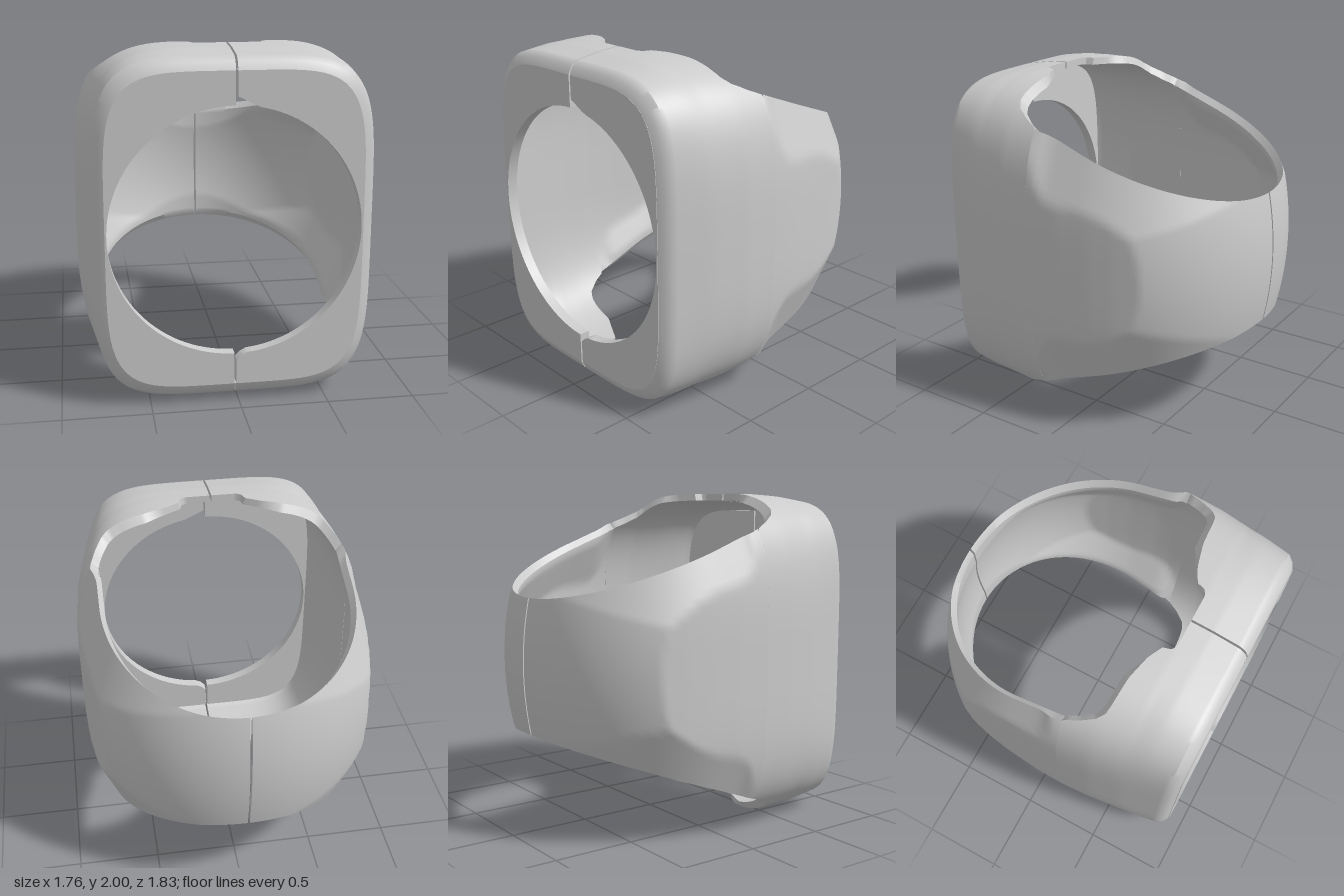
import * as THREE from 'three';
import { toCreasedNormals } from 'three/addons/utils/BufferGeometryUtils.js';

const CX = -0.022;   // x of the split line
const GAP = 0.006;   // half width of the split
const INNER = 0.72;  // half width of the opening
const HOLE = 0.705;  // radius of the front hole
const LIP = 0.04;    // how far the inner edge sits back from the outer edge
const WALL = 0.045;  // shell thickness

// Linear look-up in a short table of [key, value], keys rising.
function lookup(table, k) {
  if (k <= table[0][0]) return table[0][1];
  for (let i = 1; i < table.length; i++) {
    const [k0, v0] = table[i - 1], [k1, v1] = table[i];
    if (k <= k1) return v0 + (v1 - v0) * (k - k0) / (k1 - k0);
  }
  return table[table.length - 1][1];
}

// Half width and half height of the rounded section along z.
const WIDTH = [[-0.6, 0.77], [-0.5, 0.792], [-0.35, 0.82], [-0.2, 0.839], [0, 0.855], [0.2, 0.859],
  [0.4, 0.847], [0.6, 0.822], [0.86, 0.775], [0.895, 0.745], [0.915, 0.71]];
const HEIGHT = [[0.2, 1], [0.57, 1], [0.7, 0.99], [0.86, 0.963], [0.895, 0.935], [0.915, 0.89]];
// The one side bulges a little more.
const BULGE = [[-0.5, 0], [-0.2, 0.02], [0.1, 0.038], [0.4, 0.038], [0.65, 0.025], [0.88, 0]];
// Squareness of the section corners.
const POWER = [[0.6, 4], [0.915, 5]];
// Where the top and bottom walls end, and the slant of that edge, by distance from the split.
const WALL_END = [[0.17, 0.57], [0.2, 0.55], [0.21, 0.505], [0.25, 0.485], [0.36, 0.43], [0.44, 0.39],
  [0.6, 0.38], [0.65, 0.372], [0.69, 0.35], [0.73, 0.28], [0.755, 0.2]];
const WALL_SLANT = [[0.3, 0], [0.44, 0.035], [0.65, 0.03], [0.74, 0]];

const halfWidth = (z, s, Y) =>
  lookup(WIDTH, z) + (s > 0 ? lookup(BULGE, z) * (1 - 0.6 * Y * Y) : 0);
const bandHeight = z => 0.4 + (z + 0.87) * 0.374;
// Outward reach allowed near the edge of the slanted opening.
const edgeLimit = (z, Y) =>
  0.03 + 0.4 * Math.max(0, bandHeight(z) - Math.abs(Y)) + 2.2 * Math.max(0, z - 0.05) ** 2;

// Unit rounded square, by angle.
function section(phi, p) {
  const c = Math.cos(phi), n = Math.sin(phi);
  const r = (Math.abs(c) ** p + Math.abs(n) ** p) ** (-1 / p);
  return [c * r, n * r];
}

// Skin over columns of closed profiles; the two halves of a profile pair up for the caps.
function skin(columns, s, capStart) {
  const n = columns[0].length, pos = [], index = [];
  columns.forEach(col => col.forEach(([x, Y, z]) =>
    pos.push(CX + s * Math.max(GAP, x), 1 + Y, z)));
  const tri = (a, b, c) => (s > 0 ? index.push(a, b, c) : index.push(a, c, b));
  for (let i = 0; i < columns.length - 1; i++) {
    for (let j = 0; j < n; j++) {
      const a = i * n + j, b = i * n + (j + 1) % n;
      tri(a, b, a + n);
      tri(b, b + n, a + n);
    }
  }
  const cap = (o, flip) => {
    for (let j = 0; j < n / 2 - 1; j++) {
      const a = o + j, b = o + j + 1, c = o + n - 2 - j, d = o + n - 1 - j;
      if (flip) { tri(a, c, b); tri(a, d, c); } else { tri(a, b, c); tri(a, c, d); }
    }
  };
  if (capStart) cap(0, true);
  cap((columns.length - 1) * n, false);
  const g = new THREE.BufferGeometry();
  g.setAttribute('position', new THREE.Float32BufferAttribute(pos, 3));
  g.setIndex(index);
  return toCreasedNormals(g, 0.6);
}

// Front hood: thin rounded tube with bevelled front and notched rear edges.
function hood(s) {
  const columns = [], N = 220, M = 24;
  for (let i = 0; i <= N; i++) {
    const phi = (i / N - 0.5) * Math.PI;
    const [u0, v0] = section(phi, 4);
    const isWall = Math.abs(v0) > 0.7;
    const zEnd = isWall ? lookup(WALL_END, 0.86 * u0) : 0.2;
    const zOuter = zEnd + (isWall ? lookup(WALL_SLANT, 0.86 * u0) : 0);
    const outer = z => {
      const [u, v] = section(phi, lookup(POWER, z));
      const Y = v * lookup(HEIGHT, z);
      return [Math.min(u * halfWidth(z, s, Y), INNER + edgeLimit(z, Y)), Y, z];
    };
    const col = [outer(0.915), outer(0.895)], inside = [];
    for (let k = 0; k <= M; k++) col.push(outer(0.86 + (zOuter - 0.86) * k / M));
    for (let k = 0; k < M + 3; k++) {
      const z = zEnd + (0.85 - zEnd) * k / (M + 2);
      const [x, Y] = outer(z);
      inside.push([x * 0.946, Y * 0.957, z]);
    }
    columns.push(col.concat(inside));
  }
  return skin(columns, s, true);
}

// Rear band: half of a barrel shell, cut by two slanted planes.
function band(s) {
  const columns = [], M = 40;
  const stations = [];
  for (let k = 0; k < 10; k++) stations.push([INNER, 0.2 - 0.03 * k, 1, 0]);
  for (let k = 0; k <= 48; k++) {
    const a = k / 48 * Math.PI / 2, c = Math.cos(a), n = Math.sin(a);
    const l = Math.hypot(c / INNER, n / 0.755);
    stations.push([INNER * c, -0.1 - 0.755 * n, c / INNER / l, -n / 0.755 / l]);
  }
  for (const [x, z, nx, nz] of stations) {
    const h = bandHeight(z), outside = [], inside = [];
    for (let j = 0; j <= M; j++) {
      const v = 1 - 2 * j / M, Y = h * v;
      const R = 0.96 - 0.04 * (Y / 0.39) ** 2;
      const limit = edgeLimit(z, Y);
      const solid = t => {
        const px = x + nx * t, pz = z + nz * t;
        return t < limit && px < halfWidth(pz, s, Y) * (1 - Y ** 4) ** 0.25 &&
          (z > 0.04 || px * px + (pz - 0.04) ** 2 < R * R);
      };
      let lo = 0.015, hi = 0.4;
      for (let k = 0; k < 20; k++) {
        const mid = (lo + hi) / 2;
        if (solid(mid)) lo = mid; else hi = mid;
      }
      const ti = Math.max(0, lo - WALL);
      outside.push([x + nx * lo, Y, z + nz * lo]);
      inside.unshift([x + nx * ti, v * (h - LIP), z + nz * ti]);
    }
    columns.push(outside.concat(inside));
  }
  return skin(columns, s, false);
}

// Half of the front plate with its half of the round hole.
function plate(s) {
  const pts = [], N = 64;
  for (let i = 0; i <= N; i++) {
    const [u, v] = section((i / N - 0.5) * Math.PI, 5);
    pts.push(new THREE.Vector2(CX + s * Math.max(GAP, u * 0.715), 1 + v * 0.89));
  }
  for (let i = N; i >= 0; i--) {
    const a = (i / N - 0.5) * Math.PI, x = Math.max(GAP, HOLE * Math.cos(a));
    // small nick beside the split, on one half only
    const nick = s > 0 ? 0.05 * Math.max(0, 1 - x / (a > 0 ? 0.12 : 0.05)) : 0;
    pts.push(new THREE.Vector2(CX + s * x, 1 + (HOLE + nick) * Math.sin(a)));
  }
  const g = new THREE.ExtrudeGeometry(new THREE.Shape(pts), { depth: 0.065, bevelEnabled: false });
  g.translate(0, 0, 0.85);
  return toCreasedNormals(g, 0.6);
}

export function createModel() {
  const model = new THREE.Group();
  model.name = 'splitShroud';
  const material = new THREE.MeshStandardMaterial({ color: 0xcccccc, side: THREE.DoubleSide });
  for (const s of [1, -1]) {
    const half = new THREE.Group();
    half.name = s > 0 ? 'leftHalf' : 'rightHalf';
    for (const [name, build] of [['hood', hood], ['rearBand', band], ['frontPlate', plate]]) {
      const mesh = new THREE.Mesh(build(s), material);
      mesh.name = name;
      half.add(mesh);
    }
    model.add(half);
  }
  return model;
}
